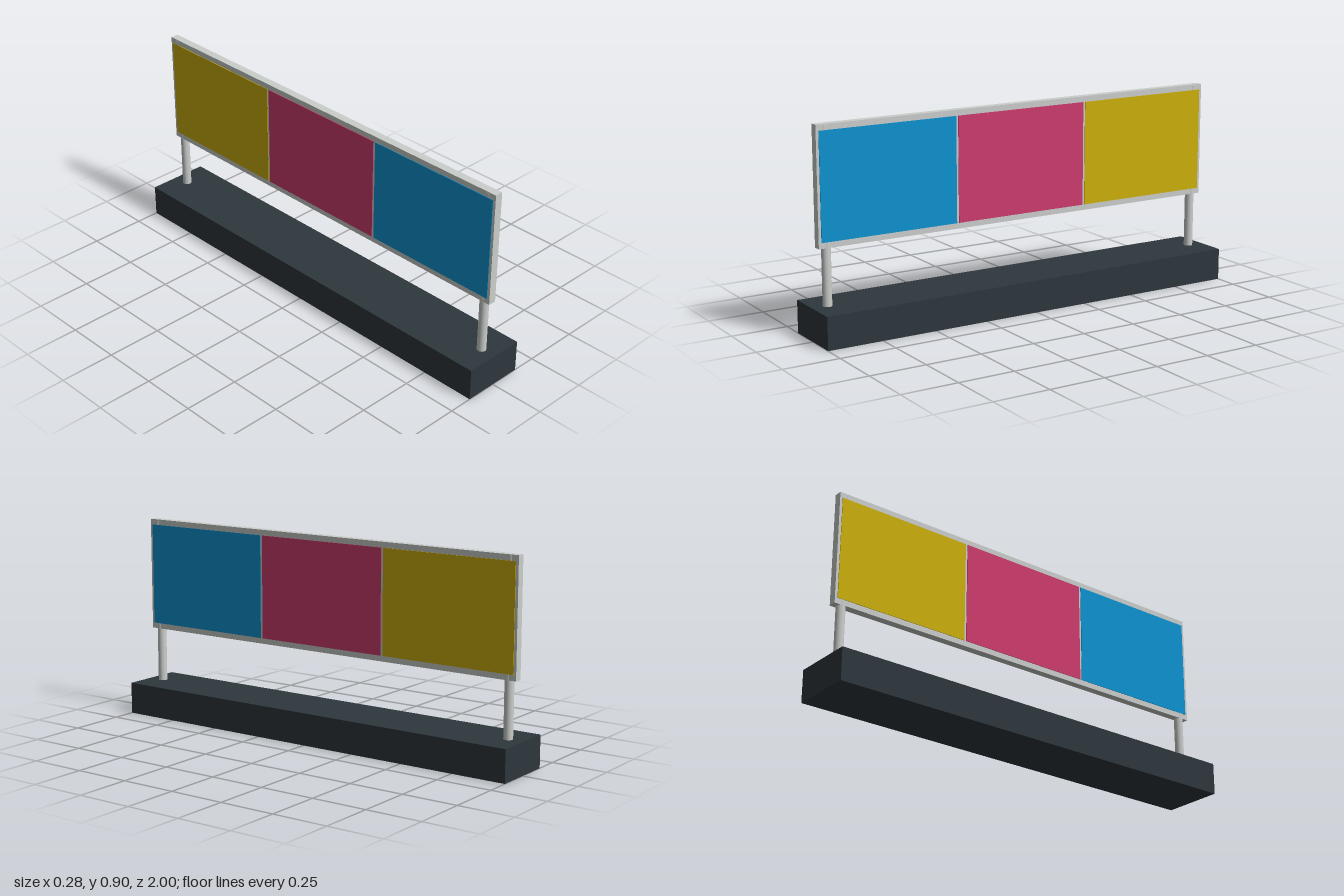
import * as THREE from 'three';

const mat = (name, color) => {
  const m = new THREE.MeshStandardMaterial({ color });
  m.name = name;
  return m;
};

export function createModel() {
  const group = new THREE.Group();
  const slate = mat('dark slate', 0x2e373d);
  const grey = mat('light grey', 0xcbcfcc);
  const blue = mat('blue', 0x0e93d1);
  const pink = mat('pink', 0xcf3c6f);
  const yellow = mat('yellow', 0xceb00d);

  const add = (name, geometry, material, x, y, z) => {
    const mesh = new THREE.Mesh(geometry, material);
    mesh.name = name;
    mesh.position.set(x, y, z);
    group.add(mesh);
  };
  const box = (name, material, w, h, d, x, y, z) =>
    add(name, new THREE.BoxGeometry(w, h, d), material, x, y, z);

  // Heavy plinth
  box('base', slate, 0.284, 0.143, 2, 0, 0.0715, 0);

  // Board frame with its backing
  box('frame', grey, 0.036, 0.51, 1.94, 0, 0.645, 0);

  // Round posts running up through the frame, just breaking its faces
  for (const z of [-0.93, 0.93]) {
    add('post', new THREE.CylinderGeometry(0.02, 0.02, 0.755, 24), grey, 0, 0.5175, z);
  }

  // Three coloured panels on each face, with narrow gaps between them
  [blue, pink, yellow].forEach((material, i) => {
    for (const side of [-1, 1]) {
      box('panel', material, 0.004, 0.46, 0.632, side * 0.0187, 0.645, (1 - i) * 0.642);
    }
  });

  return group;
}
